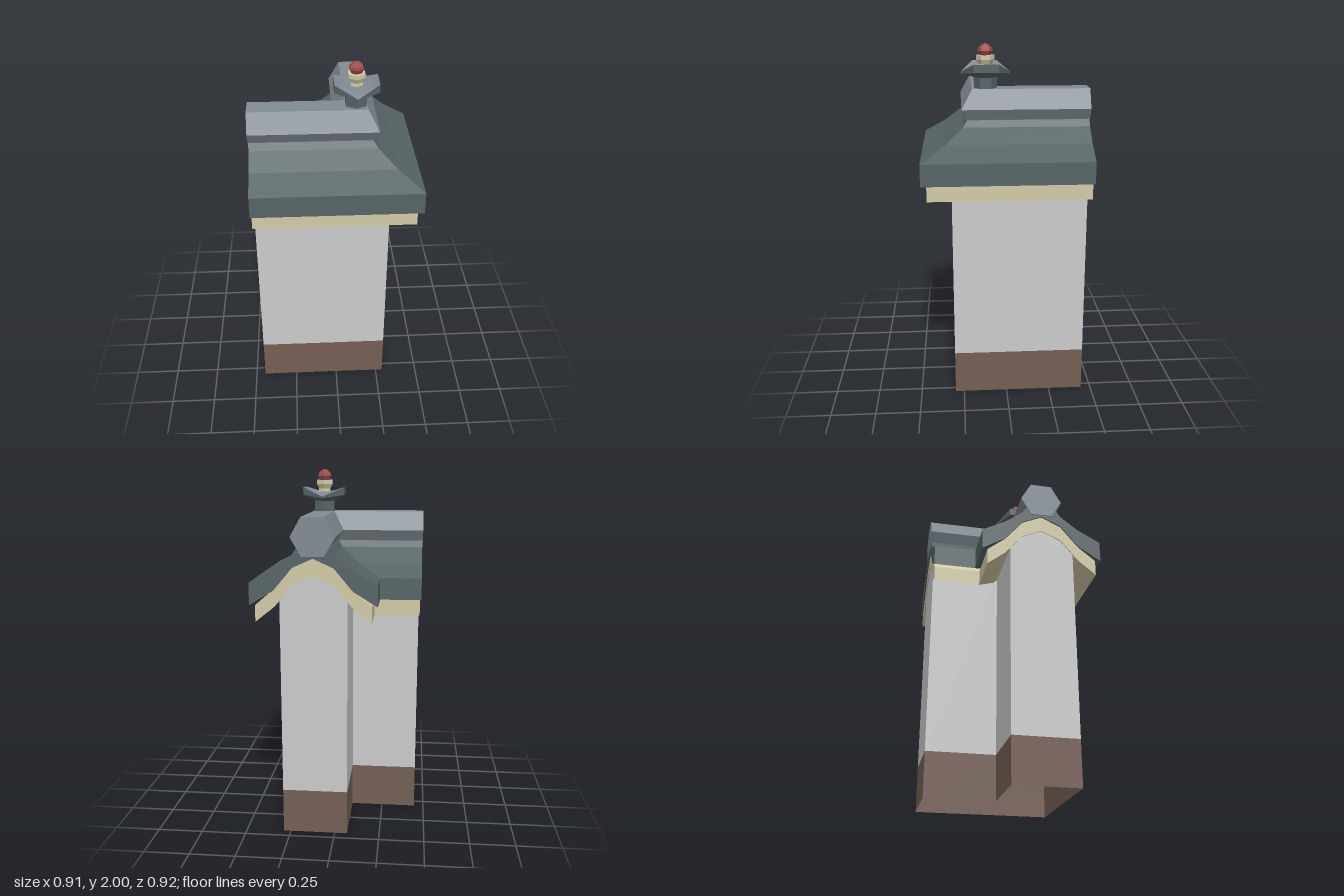
import * as THREE from 'three';

const CX = 0.11, CZ = 0.12; // where the two arms' centre lines meet

const paint = (color) => new THREE.MeshStandardMaterial({ color, flatShading: true, side: THREE.DoubleSide });
const tile = paint(0x566466), ridgeTile = paint(0x818a92), cream = paint(0xd2caa6);
const brown = paint(0x745f55), red = paint(0x9e4a4a), grey = paint(0xcccccc);

// Mirrors one half of a profile [offset, y], given from the lower outside up to the middle
const mirrored = (half) => [...half, ...half.filter(p => p[0] > 0).reverse().map(([u, y]) => [-u, y])];

// Sweeps a counter-clockwise profile along the L with a mitred corner; skip lists edges left open
function sweepL(name, profile, end, material, skip = []) {
  const stations = [
    ([u, y]) => [-end, y, CZ + u],
    ([u, y]) => [CX + u, y, CZ + u],
    ([u, y]) => [CX + u, y, -end],
  ];
  const pos = [];
  const tri = (...corners) => corners.forEach(c => pos.push(...c));
  for (let s = 0; s < 2; s++) {
    profile.forEach((p, j) => {
      if (skip.includes(j)) return;
      const q = profile[(j + 1) % profile.length];
      const a = stations[s](p), b = stations[s + 1](p), c = stations[s + 1](q), d = stations[s](q);
      tri(a, b, c);
      tri(a, c, d);
    });
  }
  // End caps
  const contour = profile.map(p => new THREE.Vector2(...p));
  for (const [i, j, k] of THREE.ShapeUtils.triangulateShape(contour, [])) {
    tri(...[i, j, k].map(n => stations[0](profile[n])));
    tri(...[k, j, i].map(n => stations[2](profile[n])));
  }
  const geometry = new THREE.BufferGeometry();
  geometry.setAttribute('position', new THREE.Float32BufferAttribute(pos, 3));
  geometry.computeVertexNormals();
  const mesh = new THREE.Mesh(geometry, material);
  mesh.name = name;
  return mesh;
}

// Six-sided turned part from [radius, y] points
function hexLathe(name, points, material) {
  const geometry = new THREE.LatheGeometry(points.map(p => new THREE.Vector2(...p)), 6);
  const mesh = new THREE.Mesh(geometry, material);
  mesh.name = name;
  return mesh;
}

export function createModel() {
  const model = new THREE.Group();
  model.name = 'wallCorner';

  // Wall: hollow brown plinth with an open bottom, grey body with an arched top
  model.add(sweepL('plinth', [[0.18, 0], [0.18, 0.25], [-0.18, 0.25], [-0.18, 0]], 0.445, brown, [1, 3]));
  const body = mirrored([[0.18, 0.25], [0.18, 1.36], [0.09, 1.47], [0, 1.51]]);
  model.add(sweepL('wallBody', body, 0.445, grey, [body.length - 1]));

  // Roof: the underside curve is shared by the cream board and the tiles
  const under = [[0.31, 1.30], [0.21, 1.38], [0.11, 1.50], [0, 1.55]];
  const board = [...mirrored(under), ...mirrored(under.map(([u, y]) => [u, y - 0.09])).reverse()];
  model.add(sweepL('eaveBoard', board, 0.45, cream));

  const top = mirrored([[0.34, 1.42], [0.21, 1.49], [0.112, 1.565], [0.088, 1.60], [0, 1.63]]);
  const soffit = mirrored([[0.34, 1.30], ...under.slice(1)]).reverse();
  model.add(sweepL('roofTiles', [...top, ...soffit], 0.457, tile));

  // Six-sided ridge
  const ridge = mirrored([[0.06, 1.56], [0.118, 1.66], [0.06, 1.763]]);
  model.add(sweepL('ridge', ridge, 0.461, ridgeTile));

  // Finial on the corner
  const finial = new THREE.Group();
  finial.name = 'finial';
  finial.position.set(0.11, 0, 0.105);
  finial.add(hexLathe('finialStem', [[0.063, 1.72], [0.063, 1.825]], tile));

  // Hat: the four side corners of the rim turn upward
  const hatUnder = hexLathe('finialHatUnderside', [[0.06, 1.82], [0.135, 1.838], [0.135, 1.848]], tile);
  const hatTop = hexLathe('finialHatTop', [[0.135, 1.848], [0.1, 1.862], [0.035, 1.872], [0, 1.872]], ridgeTile);
  for (const mesh of [hatUnder, hatTop]) {
    const p = mesh.geometry.attributes.position;
    for (let i = 0; i < p.count; i++) {
      const x = Math.abs(p.getX(i)), y = p.getY(i);
      if (x > 0.11) p.setY(i, y > 1.84 ? 1.898 : 1.855);
      else if (x > 0.08) p.setY(i, 1.882);
    }
    mesh.geometry.computeVertexNormals();
    finial.add(mesh);
  }

  finial.add(hexLathe('finialCup', [[0.038, 1.86], [0.036, 1.89], [0.05, 1.915], [0.05, 1.938], [0, 1.938]], cream));
  finial.add(hexLathe('finialBud', [[0.026, 1.93], [0.042, 1.96], [0.038, 1.975], [0.018, 1.994], [0, 2.0]], red));
  model.add(finial);
  return model;
}
